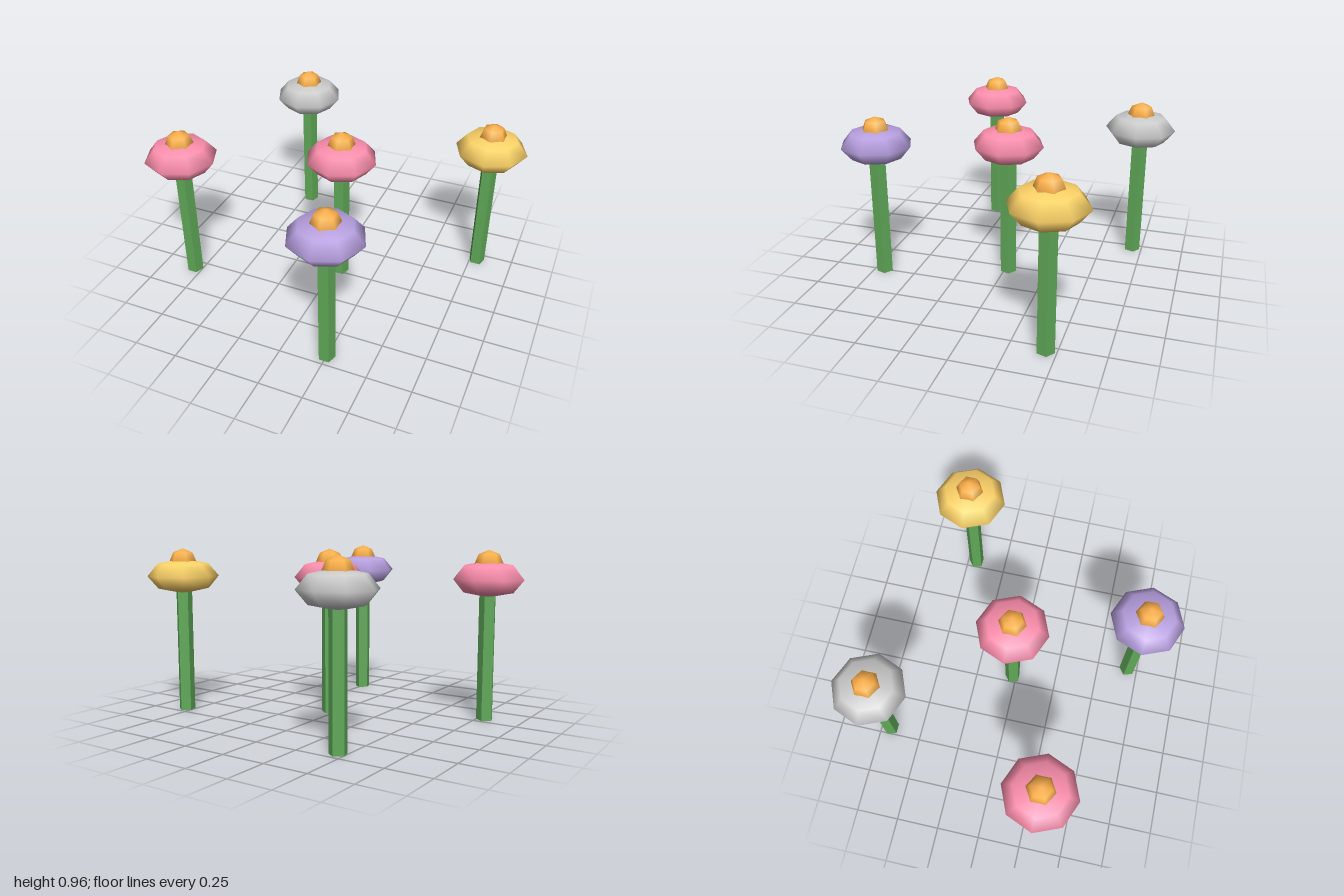
import * as THREE from 'three';

// x, z and blossom colour of each flower
const FLOWERS = [
  [-0.795, 0.31, 0xff8fae],
  [-0.46, -0.69, 0xcccccc],
  [0.04, -0.022, 0xff8fae],
  [0.25, 0.687, 0xb8a0e0],
  [0.79, -0.442, 0xffd368],
];
const STEM_HEIGHT = 0.797;
const HEAD_RADIUS = 0.205;

function mesh(name, geometry, material, y) {
  const m = new THREE.Mesh(geometry, material);
  m.name = name;
  m.position.y = y;
  return m;
}

export function createModel() {
  const model = new THREE.Group();
  model.name = 'flowerPatch';

  const green = new THREE.MeshStandardMaterial({ color: 0x5fa858, flatShading: true });
  const orange = new THREE.MeshStandardMaterial({ color: 0xffb04a });

  // five-sided stem, flat side to the front
  const stemGeo = new THREE.CylinderGeometry(0.048, 0.048, STEM_HEIGHT, 5).rotateY(Math.PI);
  // squashed eight-sided blossom
  const headGeo = new THREE.SphereGeometry(HEAD_RADIUS, 8, 4).scale(1, 0.5, 1);
  // six-sided centre, corners front and back
  const centreGeo = new THREE.SphereGeometry(0.082, 6, 4).rotateY(Math.PI / 2);

  FLOWERS.forEach(([x, z, color], i) => {
    const flower = new THREE.Group();
    flower.name = `flower${i + 1}`;
    flower.position.set(x, 0, z);
    flower.add(
      mesh('stem', stemGeo, green, STEM_HEIGHT / 2),
      mesh('blossom', headGeo, new THREE.MeshStandardMaterial({ color }), STEM_HEIGHT),
      mesh('flowerCentre', centreGeo, orange, 0.875),
    );
    model.add(flower);
  });
  return model;
}
